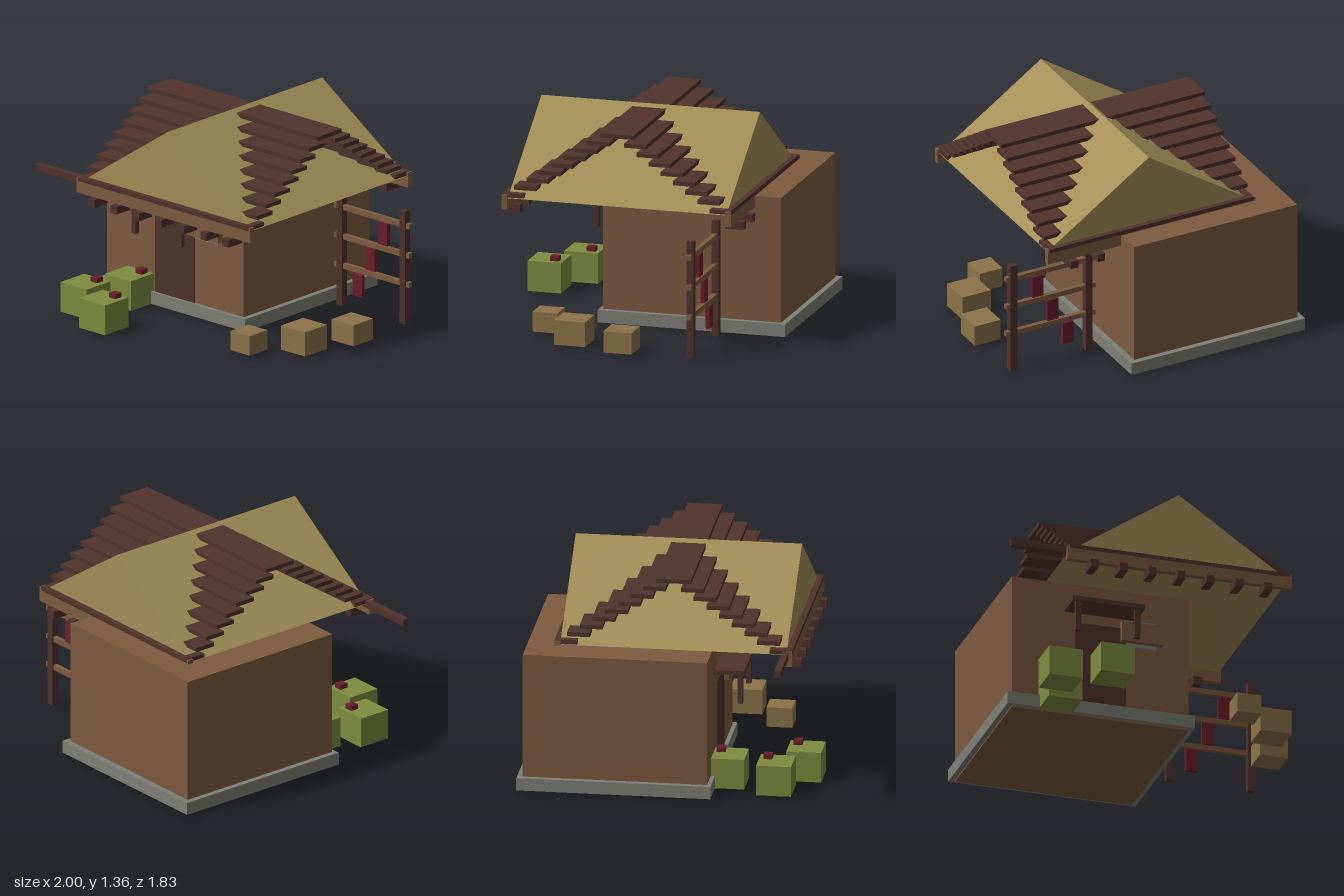
import * as THREE from 'three';

export function createModel() {
  const model = new THREE.Group();
  model.name = 'cottage';

  const mat = (name, color) => {
    const m = new THREE.MeshStandardMaterial({ color });
    m.name = name;
    return m;
  };
  const clay = mat('clayBrown', 0x7d5b40);
  const timber = mat('darkTimber', 0x51332c);
  const thatch = mat('thatch', 0xa48f57);
  const stone = mat('stoneGrey', 0x7f8076);
  const leaf = mat('leafGreen', 0x7e8d40);
  const cloth = mat('deepRed', 0x6b1f2c);
  const straw = mat('crateTan', 0x8d744a);

  // Box given by its extents along each axis
  const box = (name, material, [x0, x1], [y0, y1], [z0, z1], parent = model) => {
    const mesh = new THREE.Mesh(new THREE.BoxGeometry(x1 - x0, y1 - y0, z1 - z0), material);
    mesh.position.set((x0 + x1) / 2, (y0 + y1) / 2, (z0 + z1) / 2);
    mesh.name = name;
    parent.add(mesh);
    return mesh;
  };
  const group = (name) => {
    const g = new THREE.Group();
    g.name = name;
    model.add(g);
    return g;
  };

  // Walls and plinth
  box('walls', clay, [-0.845, 0.29], [0, 0.88], [-0.88, 0.26]);
  box('plinth', stone, [-0.88, 0.325], [0.01, 0.09], [-0.915, 0.285]);

  // Solid thatched gable, ridge running front to back
  const gable = new THREE.Shape();
  gable.moveTo(-0.625, 0.88);
  gable.lineTo(0.785, 0.88);
  gable.lineTo(0.08, 1.357);
  gable.closePath();
  const roof = new THREE.Mesh(
    new THREE.ExtrudeGeometry(gable, { depth: 1.4, bevelEnabled: false }), thatch);
  roof.position.z = -0.68;
  roof.name = 'thatchGable';
  model.add(roof);

  // Stepped plank roof crossing the gable
  const planks = group('plankRoof');
  const mid = 0.022;
  box('ridgePlank', timber, [-0.63, 0.785], [1.312, 1.338], [mid - 0.108, mid + 0.108], planks);
  for (let i = 1; i < 9; i++) {
    const y = 1.325 - 0.0534 * i;
    for (const side of [1, -1]) {
      const z = mid + side * (0.039 + 0.0783 * i);
      box('roofPlank', timber, [-0.63, 0.785], [y - 0.013, y + 0.013], [z - 0.07, z + 0.07], planks);
    }
  }

  // Eave beams with rafter ends below
  const eaves = group('eaves');
  for (const [z0, z1, s0, s1] of [[0.72, 0.757, 0.68, 0.798], [-0.713, -0.674, -0.752, -0.632]]) {
    box('eaveBeam', clay, [-0.645, 0.797], [0.81, 0.906], [z0, z1], eaves);
    for (let i = 0; i < 7; i++) {
      const x = -0.483 + 0.186 * i;
      box('rafterEnd', timber, [x - 0.025, x + 0.025], [0.76, 0.81], [s0, s1], eaves);
    }
  }
  box('sidePole', timber, [-1, -0.5], [0.861, 0.905], [0.697, 0.737]);

  // Door and its canopy
  box('door', timber, [-0.44, -0.115], [0.02, 0.625], [0.25, 0.268]);
  const canopy = group('doorCanopy');
  box('canopyTop', timber, [-0.51, -0.048], [0.69, 0.72], [0.26, 0.445], canopy);
  for (const x of [-0.47, -0.09]) {
    box('canopyPost', timber, [x - 0.018, x + 0.018], [0.5, 0.69], [0.4, 0.43], canopy);
  }

  // Window
  box('windowPane', stone, [-0.12, 0.083], [0.51, 0.685], [0.25, 0.266]);
  box('windowBox', clay, [-0.15, 0.113], [0.533, 0.662], [0.25, 0.3]);

  // Drying rack with hanging cloths
  const rack = group('dryingRack');
  for (const x of [0.408, 0.932]) {
    box('rackPost', timber, [x - 0.023, x + 0.023], [0.01, 0.742], [-0.521, -0.476], rack);
  }
  for (const y of [0.645, 0.455, 0.266]) {
    box('rackRail', clay, [0.36, 0.98], [y - 0.016, y + 0.016], [-0.514, -0.484], rack);
  }
  for (const [x, top] of [[0.76, 0.62], [0.655, 0.43], [0.55, 0.24]]) {
    box('hangingCloth', cloth, [x - 0.038, x + 0.038], [top - 0.143, top], [-0.512, -0.486], rack);
  }

  // Crates
  box('crate', straw, [0.495, 0.652], [0.01, 0.136], [0.442, 0.602]);
  box('crate', straw, [0.715, 0.912], [0.01, 0.166], [0.185, 0.385]);
  box('crate', straw, [0.82, 1], [0.01, 0.145], [-0.138, 0.042]);

  // Flowering bushes
  for (const [x, z] of [[-0.372, 0.807], [-0.658, 0.66], [-0.565, 0.357]]) {
    const bush = group('bush');
    box('leaves', leaf, [x - 0.108, x + 0.108], [0.01, 0.202], [z - 0.108, z + 0.108], bush);
    box('flower', cloth, [x + 0.019, x + 0.073], [0.2, 0.232], [z - 0.08, z - 0.026], bush);
  }

  return model;
}
